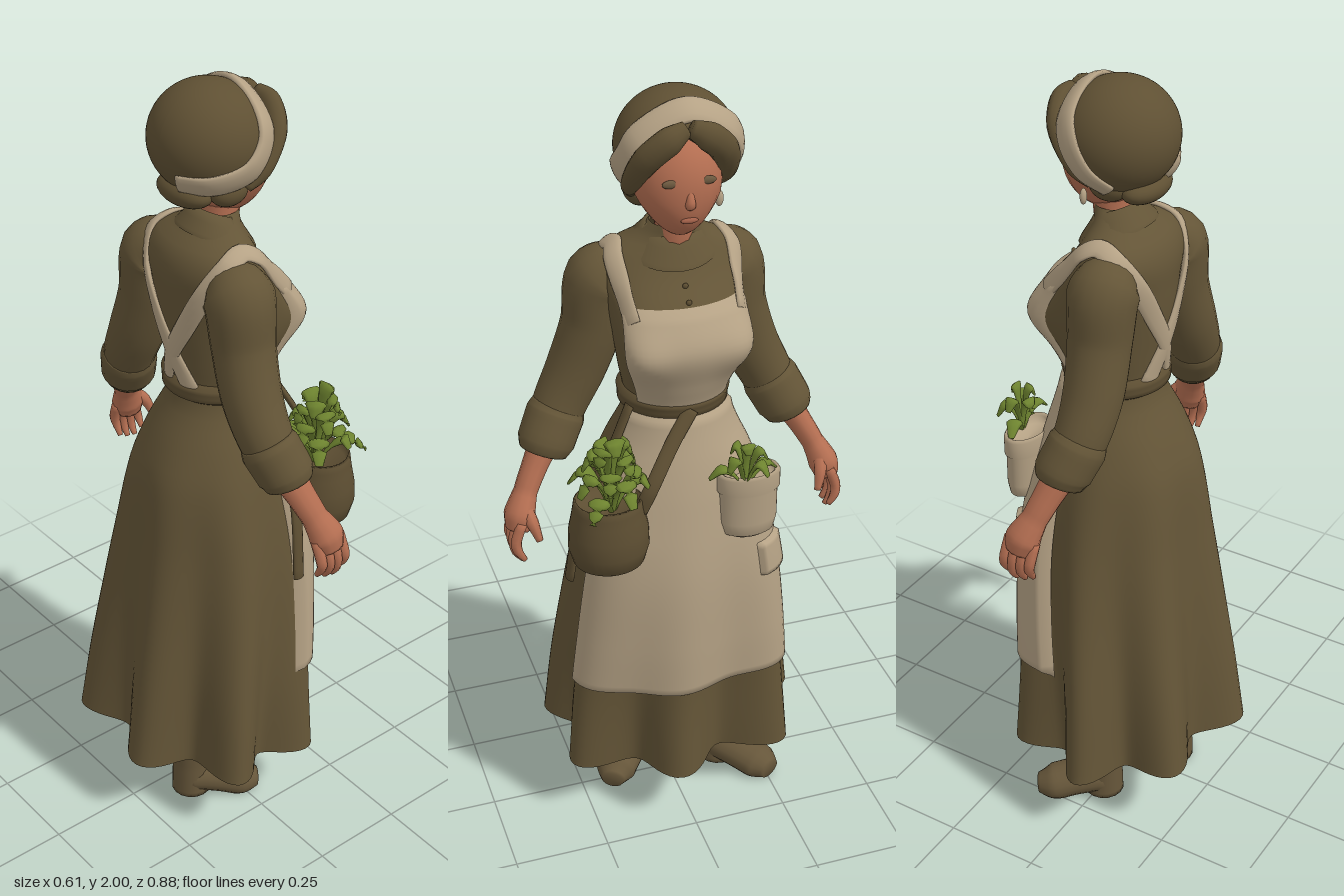
import * as THREE from 'three';

const V = (x, y, z) => new THREE.Vector3(x, y, z);
const mat = (name, color, side = THREE.FrontSide) => {
  const m = new THREE.MeshStandardMaterial({ color, side });
  m.name = name;
  return m;
};

// Surface from fn(u, v), optionally closed around u
function grid(fn, nu, nv, closed) {
  const pos = [], idx = [], row = closed ? nu : nu + 1;
  for (let j = 0; j <= nv; j++)
    for (let i = 0; i < row; i++) pos.push(...fn(i / nu, j / nv).toArray());
  for (let j = 0; j < nv; j++)
    for (let i = 0; i < nu; i++) {
      const a = j * row + i, b = j * row + ((i + 1) % row);
      idx.push(a, b, b + row, a, b + row, a + row);
    }
  const g = new THREE.BufferGeometry();
  g.setAttribute('position', new THREE.Float32BufferAttribute(pos, 3));
  g.setIndex(idx);
  g.computeVertexNormals();
  return g;
}

// Elliptical section swept along a curve; normalAt sets the flat direction
function sweep(pts, widths, { flat = 1, normalAt = () => V(1, 0.01, 0.02), nu = 12, nv = 24 } = {}) {
  const curve = new THREE.CatmullRomCurve3(pts);
  return grid((u, v) => {
    const t = THREE.MathUtils.clamp((v * nv - 1) / (nv - 2), 0, 1);
    const p = curve.getPoint(t), T = curve.getTangent(t);
    const N = normalAt(p).clone();
    N.addScaledVector(T, -N.dot(T)).normalize();
    const S = N.clone().cross(T);
    const f = t * (widths.length - 1), k = Math.min(Math.floor(f), widths.length - 2);
    const w = v === 0 || v === 1 ? 0 : THREE.MathUtils.lerp(widths[k], widths[k + 1], f - k);
    const a = u * Math.PI * 2;
    return p.addScaledVector(S, w * Math.cos(a)).addScaledVector(N, w * flat * Math.sin(a));
  }, nu, nv, true);
}

// Body sections: height, centre x, radius x, radius z
const ROWS = [
  [1.69, 0.035, 0.05, 0.055], [1.655, 0.015, 0.065, 0.09], [1.62, 0, 0.09, 0.15],
  [1.57, 0.005, 0.115, 0.175], [1.5, 0.035, 0.145, 0.165], [1.42, 0.055, 0.16, 0.152],
  [1.32, 0.045, 0.135, 0.135], [1.24, 0.035, 0.115, 0.12], [1.2, 0.035, 0.12, 0.125],
  [1.1, 0.022, 0.158, 0.17], [1, 0.012, 0.187, 0.203], [0.8, 0.01, 0.213, 0.246],
  [0.6, -0.003, 0.226, 0.274], [0.4, -0.02, 0.232, 0.294], [0.19, -0.03, 0.241, 0.306],
];
function section(y) {
  let k = 0;
  while (k < ROWS.length - 2 && y < ROWS[k + 1][0]) k++;
  const t = (ROWS[k][0] - y) / (ROWS[k][0] - ROWS[k + 1][0]);
  const at = (i) => ROWS[Math.min(Math.max(i, 0), ROWS.length - 1)];
  const slope = (i, c) => (at(i + 1)[c] - at(i - 1)[c]) / (at(i + 1)[0] - at(i - 1)[0]);
  const h = ROWS[k + 1][0] - ROWS[k][0], t2 = t * t, t3 = t2 * t;
  return [1, 2, 3].map((c) => (2 * t3 - 3 * t2 + 1) * ROWS[k][c] + (t3 - 2 * t2 + t) * h * slope(k, c)
    + (3 * t2 - 2 * t3) * ROWS[k + 1][c] + (t3 - t2) * h * slope(k + 1, c));
}
// Point on the body, with skirt folds, fuller front corners and a dipping hem
function body(a, y, off = 0, folds = 1) {
  const [cx, rx, rz] = section(y);
  const front = Math.abs(Math.atan2(Math.sin(a), Math.cos(a)));
  const corner = Math.exp(-(((front - 0.78) / 0.36) ** 2));
  const full = 0.035 * Math.exp(-(((y - 1.41) / 0.075) ** 2)) + 0.022 * THREE.MathUtils.clamp((1.15 - y) / 0.25, 0, 1);
  const f = off + corner * full + folds * 0.046 * Math.pow(Math.max(0, (1.15 - y) / 0.96), 1.4) * Math.cos(7 * (a - 2.84));
  const x = cx + (rx + f) * Math.cos(a);
  return V(x, y - x * 0.05 * Math.max(0, (0.6 - y) / 0.41), -0.012 * Math.max(0, 1.2 - y) + (rz + f) * Math.sin(a));
}
// Raised cloth panel over the body, its border tucked inwards
function panel(a0, a1, y1, y0, off, nu, nv, closed = false, folds = 0.45) {
  return grid((u, v) => {
    const edge = v === 0 || v === 1 || (!closed && (u === 0 || u === 1));
    return body(a0 + (a1 - a0) * u, y1 + (y0 - y1) * v, edge ? 0 : off, folds);
  }, nu, nv, closed);
}
const ball = (x, y, z, rx, ry, rz) => new THREE.SphereGeometry(1, 24, 16).scale(rx, ry, rz).translate(x, y, z);
const lathe = (profile) => new THREE.LatheGeometry(profile.map(([r, y]) => new THREE.Vector2(r, y)), 32);
function reshape(g, rule) {
  const p = g.attributes.position, v = V();
  for (let i = 0; i < p.count; i++) {
    rule(v.fromBufferAttribute(p, i));
    p.setXYZ(i, v.x, v.y, v.z);
  }
  g.computeVertexNormals();
  return g;
}
const rad = (d) => (d * Math.PI) / 180;

export function createModel() {
  const model = new THREE.Group();
  const dress = mat('dress brown', 0x645537, THREE.DoubleSide);
  const cream = mat('apron cream', 0xb5a285, THREE.DoubleSide);
  const skin = mat('skin', 0xb56f52);
  const leather = mat('leather', 0x5d4e32, THREE.DoubleSide);
  const boots = mat('boot brown', 0x66563a);
  const leaf = mat('leaf green', 0x6f8530);
  const hairMat = mat('hair brown', 0x5f5033);
  const eyeMat = mat('eye brown', 0x6e5a40);
  const lip = mat('lip', 0xa05f48);
  const add = (name, g, m) => {
    const mesh = new THREE.Mesh(g, m);
    mesh.name = name;
    model.add(mesh);
  };

  // Dress, apron and belt
  const tau = Math.PI * 2;
  add('bodice', grid((u, v) => body(u * tau, 1.69 - 0.47 * v), 64, 30, true), dress);
  add('skirt', grid((u, v) => body(u * tau, 1.23 - 1.04 * v), 126, 40, true), dress);
  add('skirtUnderside', grid((u, v) => body(u * tau, 0.19).lerp(V(-0.03, 0.25, -0.012), v), 126, 8, true), dress);
  add('apronSkirt', panel(rad(-69), rad(69), 1.24, 0.44, 0.025, 40, 44), cream);
  add('apronBib', panel(rad(-60), rad(60), 1.52, 1.24, 0.012, 30, 20), cream);
  add('belt', panel(0, tau, 1.272, 1.218, 0.016, 48, 5, true), leather);
  add('lowerPocket', panel(rad(-56), rad(-33), 0.87, 0.76, 0.038, 10, 10), cream);

  // Apron straps crossing on the back
  const bodyNormal = (p) => {
    const [cx, rx, rz] = section(p.y), up = p.y > 1.54 ? (p.y - 1.54) * 18 : 0;
    return V((p.x - cx) / rx, up, p.z / rz);
  };
  for (const s of [1, -1]) {
    const path = [[48, 1.49], [51, 1.56], [66, 1.615], [92, 1.632], [120, 1.61], [142, 1.54], [160, 1.44], [180, 1.35], [202, 1.25]];
    add('shoulderStrap', sweep(path.map(([a, y]) => body(rad(a) * s, y, 0.005)), [0.025, 0.025], { flat: 0.35, normalAt: bodyNormal, nv: 40 }), cream);
  }

  // Collar and buttons
  const collar = lathe([[0.11, 1.622], [0.105, 1.632], [0.08, 1.66], [0.062, 1.685], [0.056, 1.67]]);
  add('collar', reshape(collar.scale(0.8, 1, 1), (v) => { v.y -= v.x * 0.35; v.x += 0.03; }), dress);
  for (const y of [1.595, 1.56, 1.53]) add('button', ball(body(0, y, 0.002).x, y, 0, 0.005, 0.007, 0.007), leather);

  // Arms and hands
  for (const s of [1, -1]) {
    const P = (x, y, z) => V(x, y, z * s);
    add('sleeve', sweep([P(-0.015, 1.565, 0.11), P(-0.025, 1.535, 0.157), P(-0.028, 1.42, 0.18), P(-0.035, 1.3, 0.222), P(-0.03, 1.21, 0.267), P(-0.01, 1.13, 0.305)],
      [0.06, 0.086, 0.077, 0.073, 0.067, 0.06], { nu: 20, nv: 36 }), dress);
    add('cuff', sweep([P(-0.03, 1.205, 0.27), P(-0.025, 1.185, 0.28), P(-0.005, 1.125, 0.311), P(0, 1.1, 0.321)], [0.066, 0.073, 0.071, 0.06], { nu: 20, nv: 14 }), dress);
    add('forearm', sweep([P(-0.01, 1.14, 0.305), P(0.015, 1.07, 0.348), P(0.035, 1.015, 0.378), P(0.055, 0.965, 0.4), P(0.063, 0.93, 0.408)],
      [0.045, 0.037, 0.034, 0.046, 0.036], { flat: 0.85, normalAt: () => V(0, 0.4, s) }), skin);
    for (let i = 0; i < 4; i++) {
      const x = 0.02 + i * 0.024, drop = [0.015, 0.004, 0, 0.014][i];
      add('finger', sweep([P(x, 0.96, 0.403), P(x + 0.004, 0.91, 0.421), P(x + 0.008, 0.872 + drop, 0.418), P(x + 0.008, 0.845 + drop, 0.402)],
        [0.014, 0.014, 0.012, 0.007], { nu: 8, nv: 12 }), skin);
    }
    add('thumb', sweep([P(0.055, 0.995, 0.39), P(0.095, 0.96, 0.378), P(0.112, 0.915, 0.365)], [0.019, 0.016, 0.009], { nu: 8, nv: 12, normalAt: () => V(0, 0, 1) }), skin);
  }

  // Neck and face
  add('neck', sweep([V(0.03, 1.6, 0), V(0.045, 1.67, 0), V(0.045, 1.76, 0)], [0.05, 0.047, 0.047]), skin);
  add('face', reshape(ball(0.066, 1.802, 0, 0.1, 0.13, 0.104), (v) => {
    const low = Math.max(0, 1.78 - v.y) / 0.12;
    v.z *= 1 - 0.32 * low;
    if (v.x > 0.06) v.x += 0.012 * low;
  }), skin);
  add('nose', sweep([V(0.152, 1.815, 0), V(0.162, 1.79, 0), V(0.163, 1.775, 0), V(0.152, 1.768, 0)], [0.007, 0.01, 0.013, 0.009], { nv: 12 }), skin);
  add('lips', ball(0.157, 1.735, 0, 0.007, 0.007, 0.021), lip);
  for (const s of [1, -1]) add('eye', ball(0.153, 1.826, 0.044 * s, 0.006, 0.01, 0.02), eyeMat);

  // Hair with a parted fringe and nape rolls
  const C = V(0.018, 1.864, -0.012), R = V(0.14, 0.135, 0.143);
  add('hair', reshape(new THREE.SphereGeometry(1, 64, 48).scale(R.x, R.y, R.z).translate(C.x, C.y, C.z), (v) => {
    const line = 1.9 - Math.abs(v.z) * 0.8;
    v.x = Math.min(v.x, 0.055 + Math.max(0, v.y - line) * 3.2);
  }), hairMat);
  for (const s of [1, -1]) {
    add('fringe', sweep([V(0.145, 1.948, 0.005 * s), V(0.152, 1.928, 0.045 * s), V(0.132, 1.882, 0.091 * s), V(0.08, 1.81, 0.11 * s), V(0.04, 1.77, 0.1 * s)],
      [0.02, 0.034, 0.034, 0.027, 0.015], { flat: 0.75 }), hairMat);
    add('sideRoll', ball(0.01, 1.762, 0.075 * s, 0.05, 0.036, 0.035), hairMat);
  }
  add('napeRoll', ball(-0.05, 1.752, -0.01, 0.05, 0.036, 0.085), hairMat);

  // Headband, low behind one ear and steep beside the other
  const bandDir = (p) => p.clone().sub(C).divide(R).normalize();
  const band = [[-0.11, 1.785, 0.03], [-0.06, 1.79, 0.1], [0.03, 1.815, 0.14], [0.085, 1.87, 0.14], [0.1, 1.925, 0.11], [0.11, 1.985, -0.012],
    [0.1, 1.93, -0.12], [0.07, 1.87, -0.155], [0.03, 1.81, -0.15], [-0.01, 1.77, -0.11]];
  add('headband', sweep(band.map((p) => bandDir(V(...p)).multiply(R).multiplyScalar(1.025).add(C)),
    [0.03, 0.037, 0.034, 0.035, 0.026], { flat: 0.33, normalAt: bandDir, nv: 72 }), cream);
  add('earring', ball(0.06, 1.735, -0.105, 0.008, 0.02, 0.01), cream);

  // Boots
  for (const [x, z, s] of [[-0.102, 0.07, 1], [-0.008, -0.15, -1]]) {
    add('bootShaft', sweep([V(x, 0.28, z), V(x, 0.2, z), V(x, 0.1, z), V(x, 0.002, z)], [0.057, 0.055, 0.051, 0.054], { nu: 16 }), boots);
    const foot = sweep([V(x - 0.03, 0.03, z - 0.015 * s), V(x, 0.045, z), V(x + 0.06, 0.042, z + 0.045 * s), V(x + 0.11, 0.03, z + 0.085 * s), V(x + 0.145, 0.025, z + 0.105 * s)],
      [0.03, 0.054, 0.055, 0.055, 0.03], { flat: 0.85, normalAt: () => V(0, 1, 0), nu: 16 });
    add('bootFoot', reshape(foot, (v) => { v.y = Math.max(0, v.y); }), boots);
  }

  // Herb bag, pocket and hanging straps
  const bag = lathe([[0, 0], [0.6, 0.02], [0.88, 0.12], [1, 0.34], [0.98, 0.58], [0.9, 0.78], [0.86, 0.9], [0.84, 0.98], [0.78, 1], [0.72, 0.88], [0, 0.8]]);
  add('herbBag', bag.scale(0.093, 0.195, 0.1).translate(0.19, 0.863, 0.213), leather);
  const pocket = lathe([[0, 0], [0.6, 0.01], [0.85, 0.07], [0.95, 0.25], [0.95, 0.68], [1.03, 0.72], [1.03, 0.95], [0.95, 1], [0.84, 0.97], [0.8, 0.85], [0, 0.82]]);
  add('apronPocket', pocket.scale(0.048, 0.185, 0.078).translate(0.213, 0.903, -0.137), cream);
  add('bagStrap', sweep([V(0.165, 1.25, -0.005), V(0.19, 1.18, 0.05), V(0.222, 1.08, 0.115), V(0.215, 1.02, 0.14)], [0.018, 0.018], { flat: 0.45, normalAt: () => V(1, 0.2, 0.5) }), leather);
  add('hangingStrap', sweep([V(0.085, 1.24, 0.125), V(0.1, 1.1, 0.19), V(0.085, 0.95, 0.255), V(0.075, 0.76, 0.285)], [0.016, 0.016, 0.018, 0.018], { flat: 0.5, normalAt: () => V(0.2, 0, 1) }), leather);

  // Herbs: inner leaves stand, outer leaves arch over
  let seed = 7;
  const rnd = () => (seed = (seed * 16807) % 2147483647) / 2147483647;
  const herbs = (base, count, sx, sz, h0, h1, w) => {
    for (let i = 0; i < count; i++) {
      const a = i * 2.4, r = 0.3 + (0.7 * (i + 0.5)) / count, h = THREE.MathUtils.lerp(h1, h0, r * (0.75 + 0.25 * rnd()));
      const dx = Math.cos(a) * sx * r, dz = Math.sin(a) * sz * r;
      const at = (k, y) => base.clone().add(V(dx * k, y, dz * k));
      add('herbLeaf', sweep([at(0, 0), at(0.35, h * 0.7), at(0.75, h), at(1.15, h * (1 - 0.45 * r))],
        [0.006, 0.01, w, w * 0.35], { flat: 0.4, normalAt: () => V(-dx, 0.1, -dz), nu: 8, nv: 14 }), leaf);
    }
  };
  herbs(V(0.192, 1.01, 0.203), 18, 0.118, 0.108, 0.05, 0.27, 0.028);
  herbs(V(0.248, 1.05, -0.115), 8, 0.055, 0.09, 0.045, 0.17, 0.021);
  return model;
}
